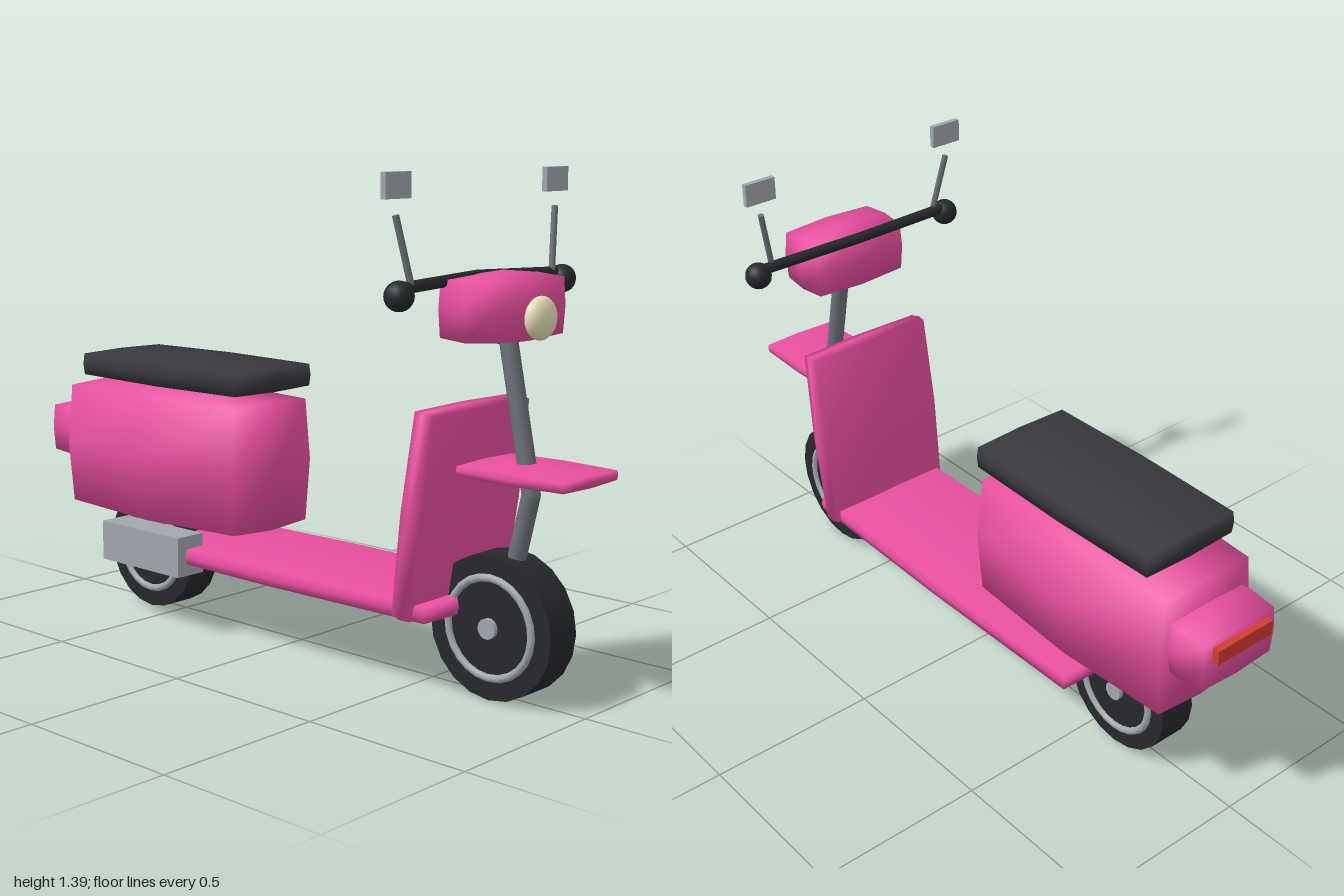
import * as THREE from 'three';
import { mergeVertices } from 'three/addons/utils/BufferGeometryUtils.js';

const mat = (color) => new THREE.MeshStandardMaterial({ color });
const PINK = mat(0xe84f9f), DARK = mat(0x26282c), SEAT = mat(0x37383c), STEEL = mat(0x6b7078);
const SILVER = mat(0xa2a6ae), CREAM = mat(0xe9e0bb), RED = mat(0xd23c30);
const V = (x, y, z) => new THREE.Vector3(x, y, z);

// Smooth box whose faces swell outwards; edge = size of each axis at the rims
function pillow(w, h, d, edge) {
  const box = new THREE.BoxGeometry(2, 2, 2, 2, 2, 2);
  box.deleteAttribute('normal');
  box.deleteAttribute('uv');
  const geo = mergeVertices(box);
  const p = geo.attributes.position;
  for (let i = 0; i < p.count; i++) {
    const u = p.getX(i), v = p.getY(i), s = p.getZ(i);
    const f = (k, a, b) => 1 - (1 - edge[k]) * Math.hypot(a, b);
    p.setXYZ(i, u * w / 2 * f(0, v, s), v * h / 2 * f(1, u, s), s * d / 2 * f(2, u, v));
  }
  geo.computeVertexNormals();
  return geo;
}

// Straight round bar between two points
function barGeometry(a, b, r, sides = 12) {
  const geo = new THREE.CylinderGeometry(r, r, a.distanceTo(b), sides);
  const q = new THREE.Quaternion().setFromUnitVectors(V(0, 1, 0), b.clone().sub(a).normalize());
  const mid = a.clone().add(b).multiplyScalar(0.5);
  return geo.applyQuaternion(q).translate(mid.x, mid.y, mid.z);
}

export function createModel() {
  const model = new THREE.Group();
  model.name = 'scooter';

  function add(name, geometry, material, x = 0, y = 0, z = 0, parent = model) {
    const mesh = new THREE.Mesh(geometry, material);
    mesh.name = name;
    mesh.position.set(x, y, z);
    parent.add(mesh);
    return mesh;
  }

  // Wheels: tyre, rim rings on both sides and hub
  function wheel(name, r, y, z) {
    const g = new THREE.Group();
    g.name = name;
    g.position.set(0, y, z);
    model.add(g);
    add('tyre', new THREE.CylinderGeometry(r, r, 0.112, 20).rotateZ(Math.PI / 2), DARK, 0, 0, 0, g);
    for (const s of [-1, 1]) {
      const ring = new THREE.TorusGeometry(r * 0.69, 0.011, 8, 24).rotateY(Math.PI / 2);
      add('rimRing', ring, SILVER, s * 0.056, 0, 0, g);
    }
    add('hub', new THREE.CylinderGeometry(0.028, 0.028, 0.14, 14).rotateZ(Math.PI / 2), SILVER, 0, 0, 0, g);
  }
  wheel('frontWheel', 0.197, 0.198, 0.73);
  wheel('rearWheel', 0.186, 0.187, -0.6);

  // Body panels
  add('floorboard', pillow(0.41, 0.066, 1.17, [0.96, 0.75, 0.99]), PINK, 0, 0.238, 0.045);
  const shield = add('legShield', pillow(0.45, 0.575, 0.09, [0.94, 0.98, 0.78]), PINK, 0, 0.497, 0.587);
  shield.rotation.x = 0.13;
  add('rearBody', pillow(0.4, 0.425, 0.765, [0.83, 0.91, 0.965]), PINK, 0, 0.505, -0.492);
  add('tail', pillow(0.29, 0.18, 0.19, [0.91, 0.86, 0.94]), PINK, 0, 0.538, -0.89);
  add('tailLight', new THREE.BoxGeometry(0.2, 0.045, 0.025), RED, 0, 0.572, -0.9875);
  add('seat', pillow(0.335, 0.088, 0.685, [0.95, 0.82, 0.985]), SEAT, 0, 0.764, -0.452);
  add('frontFender', pillow(0.256, 0.046, 0.34, [0.95, 0.68, 0.985]), PINK, 0, 0.62, 0.83);
  add('exhaust', new THREE.BoxGeometry(0.1, 0.12, 0.34), SILVER, -0.18, 0.24, -0.455);

  // Bent front fork and steering column
  const axle = V(0, 0.2, 0.73), bend = V(0, 0.56, 0.815), top = V(0, 0.97, 0.73);
  add('fork', barGeometry(axle, bend, 0.025), STEEL);
  add('steeringColumn', barGeometry(bend, top, 0.025), STEEL);
  add('forkBend', new THREE.SphereGeometry(0.025, 12, 8), STEEL, bend.x, bend.y, bend.z);

  // Headset and headlight
  add('headset', pillow(0.335, 0.192, 0.187, [0.93, 0.84, 0.93]), PINK, 0, 1.04, 0.712);
  add('headlight', new THREE.SphereGeometry(0.057, 20, 14).scale(1, 1, 0.54), CREAM, 0, 1.02, 0.833);

  // Handlebar, grips and mirrors
  for (const s of [-1, 1]) {
    add('handlebar', barGeometry(V(0, 1.115, 0.625), V(s * 0.345, 1.105, 0.65), 0.016), DARK);
    add('grip', new THREE.SphereGeometry(0.039, 16, 12), DARK, s * 0.345, 1.088, 0.654);
    add('mirrorStem', barGeometry(V(s * 0.298, 1.11, 0.653), V(s * 0.335, 1.285, 0.632), 0.009, 8), STEEL);
    add('mirror', new THREE.BoxGeometry(0.098, 0.066, 0.016), SILVER, s * 0.334, 1.358, 0.632);
  }
  return model;
}
